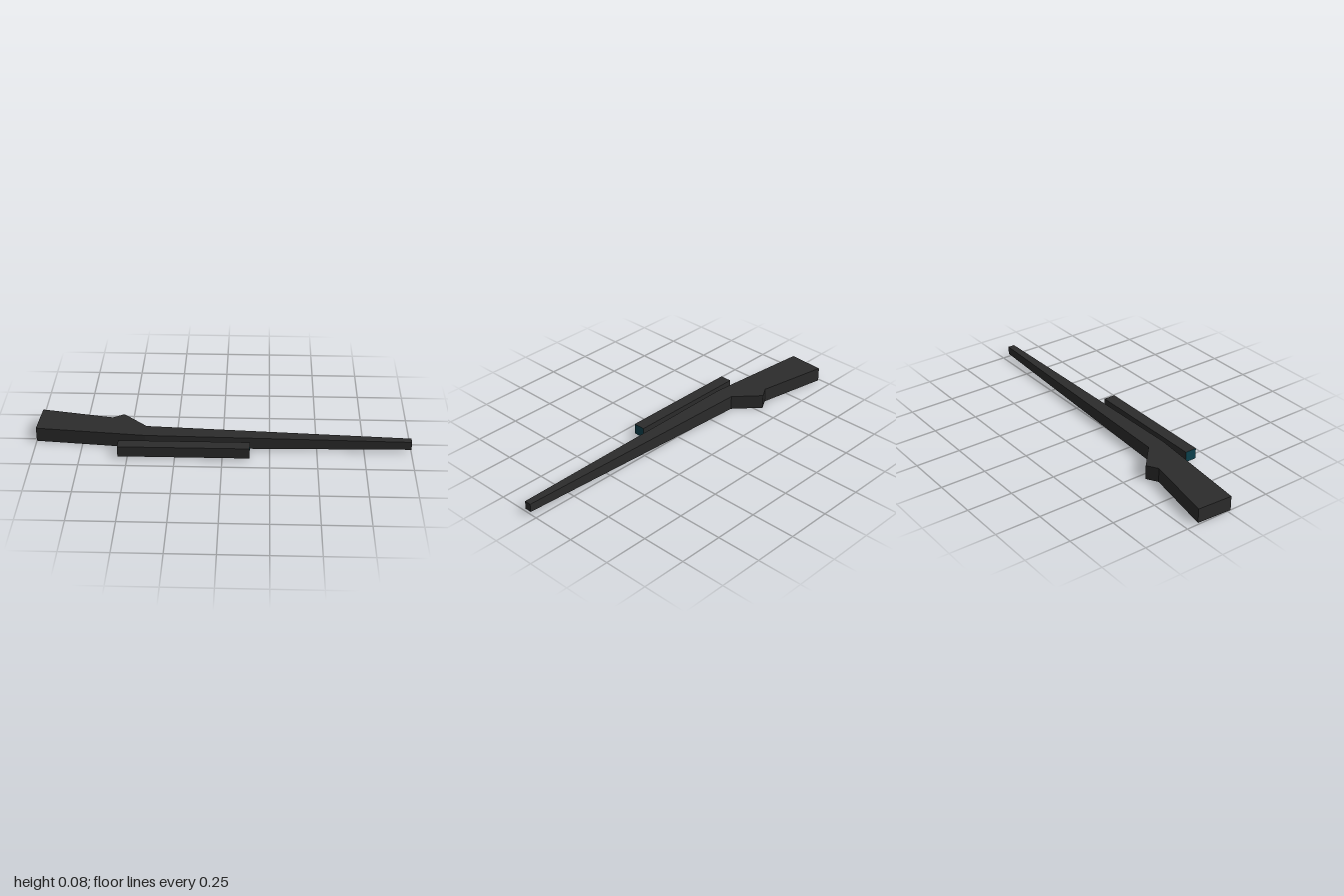
import * as THREE from 'three';

const HEIGHT = 0.079;

// Extrude a plan outline of [x, z] points upwards from y = 0
function slab(points) {
  const shape = new THREE.Shape(points.map(([x, z]) => new THREE.Vector2(x, -z)));
  const geo = new THREE.ExtrudeGeometry(shape, { depth: HEIGHT, bevelEnabled: false });
  return geo.rotateX(-Math.PI / 2);
}

export function createModel() {
  const model = new THREE.Group();
  const body = new THREE.MeshStandardMaterial({ name: 'charcoal', color: 0x2c2c2c });
  const lens = new THREE.MeshStandardMaterial({ name: 'dark teal', color: 0x0d424e });

  const add = (name, geo, material) => {
    const mesh = new THREE.Mesh(geo, material);
    mesh.name = name;
    model.add(mesh);
    return mesh;
  };

  // Stock with the angular grip notch on its back edge
  const bend = -0.41;
  add('stock', slab([
    [-1, 0.02], [bend, 0.076], [bend, -0.02],
    [-0.54, -0.14], [-0.6, -0.104], [-0.99, -0.177],
  ]), body);

  // Barrel, narrowing in height towards the muzzle
  const barrel = slab([[bend, 0.076], [1, 0.076], [1, 0.038], [bend, -0.02]]);
  const p = barrel.attributes.position;
  for (let i = 0; i < p.count; i++) {
    const t = (p.getX(i) - bend) / (1 - bend);
    const scale = THREE.MathUtils.lerp(1, 0.58, t);
    p.setY(i, HEIGHT / 2 + (p.getY(i) - HEIGHT / 2) * scale);
  }
  barrel.computeVertexNormals();
  add('barrel', barrel, body);

  // Separate sight bar with a lens on each end face
  const sight = add('sight', new THREE.BoxGeometry(0.695, 0.059, 0.065),
    [lens, lens, body, body, body, body]);
  sight.position.set(-0.2025, HEIGHT / 2, 0.145);

  return model;
}
